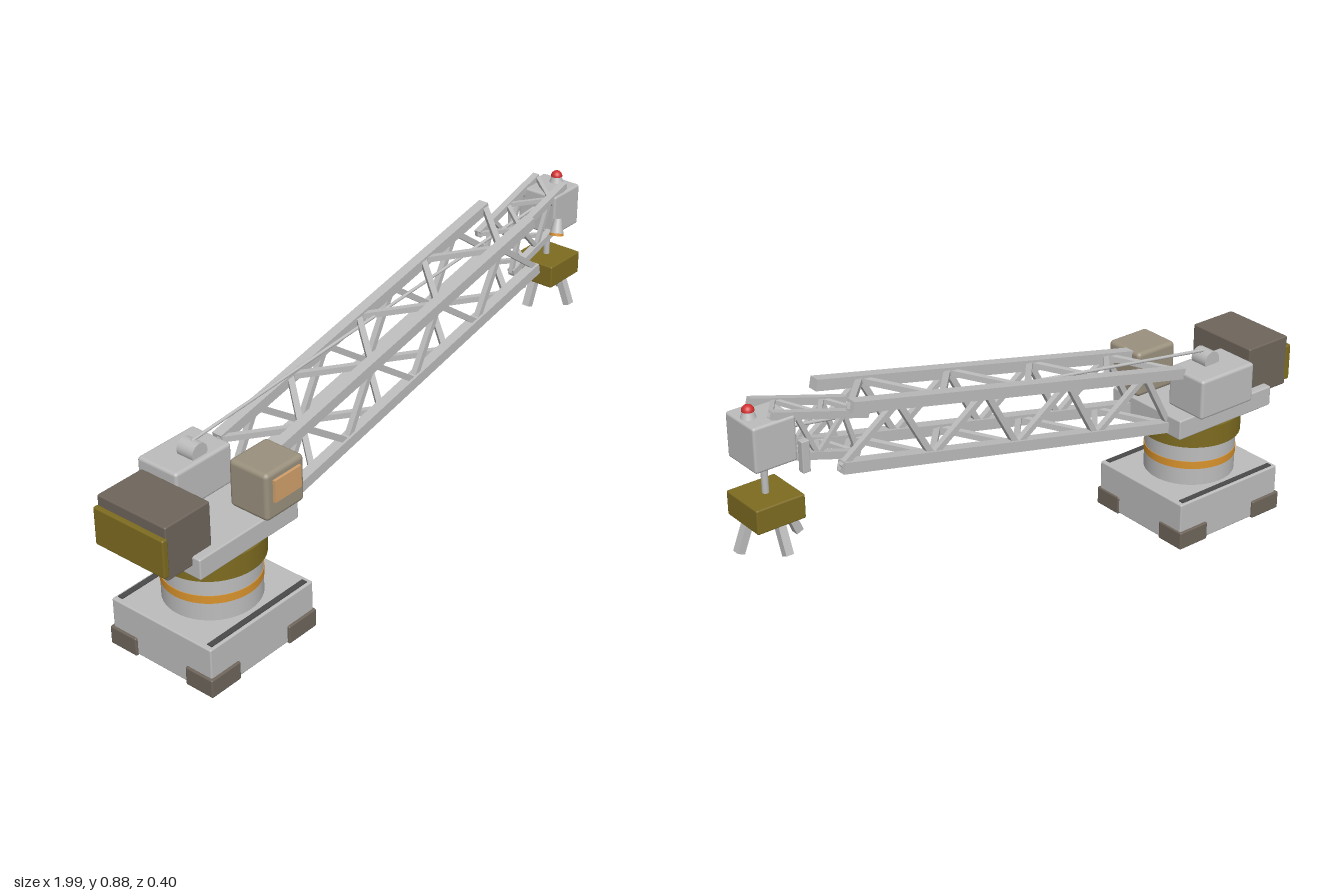
import * as THREE from 'three';
import { RoundedBoxGeometry } from 'three/addons/geometries/RoundedBoxGeometry.js';

const paint = (name, color) => {
  const m = new THREE.MeshStandardMaterial({ color });
  m.name = name;
  return m;
};

export function createModel() {
  const grey = paint('light grey', 0xbcbcbc);
  const dark = paint('dark grey', 0x4a4a4a);
  const olive = paint('olive', 0x7d6b20);
  const brown = paint('brown grey', 0x6e655b);
  const tan = paint('cab tan', 0x9a907d);
  const orange = paint('orange', 0xd8922c);
  const glass = paint('window amber', 0xd2a06a);
  const red = paint('red', 0xd03030);

  const model = new THREE.Group();
  model.name = 'crane';
  const V = (x, y, z) => new THREE.Vector3(x, y, z);

  const add = (name, geometry, material, x, y, z, parent = model) => {
    const mesh = new THREE.Mesh(geometry, material);
    mesh.name = name;
    mesh.position.set(x, y, z);
    parent.add(mesh);
    return mesh;
  };
  // Box given by its extents, with a small rounded edge
  const block = (name, material, [x0, x1], [y0, y1], [z0, z1], r = 0.005) => {
    const w = x1 - x0, h = y1 - y0, d = z1 - z0;
    const geo = r ? new RoundedBoxGeometry(w, h, d, 2, r) : new THREE.BoxGeometry(w, h, d);
    return add(name, geo, material, (x0 + x1) / 2, (y0 + y1) / 2, (z0 + z1) / 2);
  };
  // Square bar between two points
  const bar = (name, a, b, size, parent = model, material = grey) => {
    const mesh = new THREE.Mesh(new THREE.BoxGeometry(size, size, a.distanceTo(b)), material);
    mesh.name = name;
    mesh.position.copy(a).lerp(b, 0.5);
    mesh.lookAt(b);
    parent.add(mesh);
    return mesh;
  };
  // Round rod between two points
  const rod = (name, a, b, r0, r1, material, parent = model) => {
    const mesh = add(name, new THREE.CylinderGeometry(r1, r0, a.distanceTo(b), 20), material, 0, 0, 0, parent);
    mesh.position.copy(a).lerp(b, 0.5);
    mesh.quaternion.setFromUnitVectors(V(0, 1, 0), b.clone().sub(a).normalize());
    return mesh;
  };
  const drum = (name, material, r, y0, y1) =>
    add(name, new THREE.CylinderGeometry(r, r, y1 - y0, 48), material, -0.695, (y0 + y1) / 2, 0);

  // Base with corner feet and dark top strips
  block('base', grey, [-0.905, -0.485], [0.003, 0.155], [-0.19, 0.19]);
  for (const s of [-1, 1]) {
    for (const x of [-0.855, -0.538]) {
      const z = s * 0.147;
      block('foot', brown, [x - 0.058, x + 0.058], [0, 0.06], [z - 0.051, z + 0.051]);
    }
    block('baseStrip', dark, [-0.89, -0.5], [0.153, 0.158], [s * 0.172 - 0.009, s * 0.172 + 0.009], 0);
  }

  // Column and turntable
  drum('column', grey, 0.145, 0.155, 0.296);
  drum('columnBand', orange, 0.147, 0.213, 0.238);
  drum('turntable', olive, 0.159, 0.295, 0.364);
  block('deck', grey, [-0.893, -0.5], [0.364, 0.43], [-0.155, 0.155]);

  // Counterweight, machine house and winch
  block('counterweight', brown, [-0.985, -0.817], [0.4, 0.568], [-0.127, 0.127]);
  block('counterweightPlate', olive, [-1, -0.98], [0.415, 0.535], [-0.13, 0.13]);
  block('machineHouse', grey, [-0.775, -0.555], [0.428, 0.56], [-0.19, -0.04], 0.01);
  add('winchDrum', new THREE.CylinderGeometry(0.03, 0.03, 0.06, 28), grey, -0.665, 0.572, -0.085)
    .rotation.x = Math.PI / 2;

  // Cab with side window
  block('cab', tan, [-0.655, -0.5], [0.435, 0.586], [0.04, 0.181], 0.014);
  block('cabWindow', glass, [-0.63, -0.523], [0.493, 0.563], [0.181, 0.19], 0);

  // Lattice section: four chords and zigzag lacing on every face
  const lattice = (name, upper, lower, halfWidth, chord, lace, panels) => {
    const g = new THREE.Group();
    g.name = name;
    model.add(g);
    const at = (line, t, s) => {
      const p = line[0].clone().lerp(line[1], t);
      p.z = s * halfWidth;
      return p;
    };
    for (const s of [-1, 1]) {
      bar('upperChord', at(upper, 0, s), at(upper, 1, s), chord, g);
      bar('lowerChord', at(lower, 0, s), at(lower, 1, s), chord, g);
    }
    for (let i = 0; i < panels; i++) {
      const t0 = i / panels, t1 = (i + 1) / panels, odd = i % 2;
      for (const s of [-1, 1]) {
        bar('sideLacing', at(odd ? upper : lower, t0, s), at(odd ? lower : upper, t1, s), lace, g);
      }
      const f = odd ? 1 : -1;
      bar('topLacing', at(upper, t0, f), at(upper, t1, -f), lace, g);
      bar('bottomLacing', at(lower, t0, f), at(lower, t1, -f), lace, g);
    }
    return g;
  };
  lattice('boom', [V(-0.56, 0.555, 0), V(0.662, 0.828, 0)], [V(-0.515, 0.386, 0), V(0.7, 0.657, 0)],
    0.088, 0.034, 0.018, 8);
  lattice('jib', [V(0.585, 0.77, 0), V(0.89, 0.86, 0)], [V(0.62, 0.657, 0), V(0.88, 0.737, 0)],
    0.053, 0.022, 0.013, 4);

  // Luffing cable from winch to jib head
  rod('luffingCable', V(-0.665, 0.599, -0.085), V(0.85, 0.79, -0.01), 0.005, 0.005, grey);

  // Jib head with beacon, side box and work light
  block('head', grey, [0.822, 0.955], [0.71, 0.845], [-0.069, 0.069], 0.008);
  add('beaconBase', new THREE.CylinderGeometry(0.014, 0.022, 0.02, 24), grey, 0.925, 0.855, 0);
  add('beacon', new THREE.SphereGeometry(0.018, 24, 12, 0, Math.PI * 2, 0, Math.PI / 2), red, 0.925, 0.864, 0);
  block('sideBox', grey, [0.8, 0.825], [0.68, 0.775], [-0.095, -0.073], 0.003);
  const lampTop = V(0.822, 0.777, 0.083), lampEnd = V(0.808, 0.735, 0.09);
  rod('workLight', lampTop, lampEnd, 0.013, 0.021, grey);
  rod('workLightRim', lampEnd, V(0.806, 0.728, 0.091), 0.022, 0.022, orange);

  // Hoist rod, grab block and four splayed prongs
  rod('hoistRod', V(0.888, 0.6, 0), V(0.888, 0.715, 0), 0.01, 0.01, grey);
  block('grabBlock', olive, [0.811, 0.965], [0.533, 0.607], [-0.076, 0.076]);
  for (let i = 0; i < 4; i++) {
    const c = Math.cos(i * Math.PI / 2), s = Math.sin(i * Math.PI / 2);
    bar('grabProng', V(0.888 + 0.058 * c, 0.545, 0.058 * s), V(0.888 + 0.095 * c, 0.454, 0.095 * s), 0.024);
  }
  return model;
}
